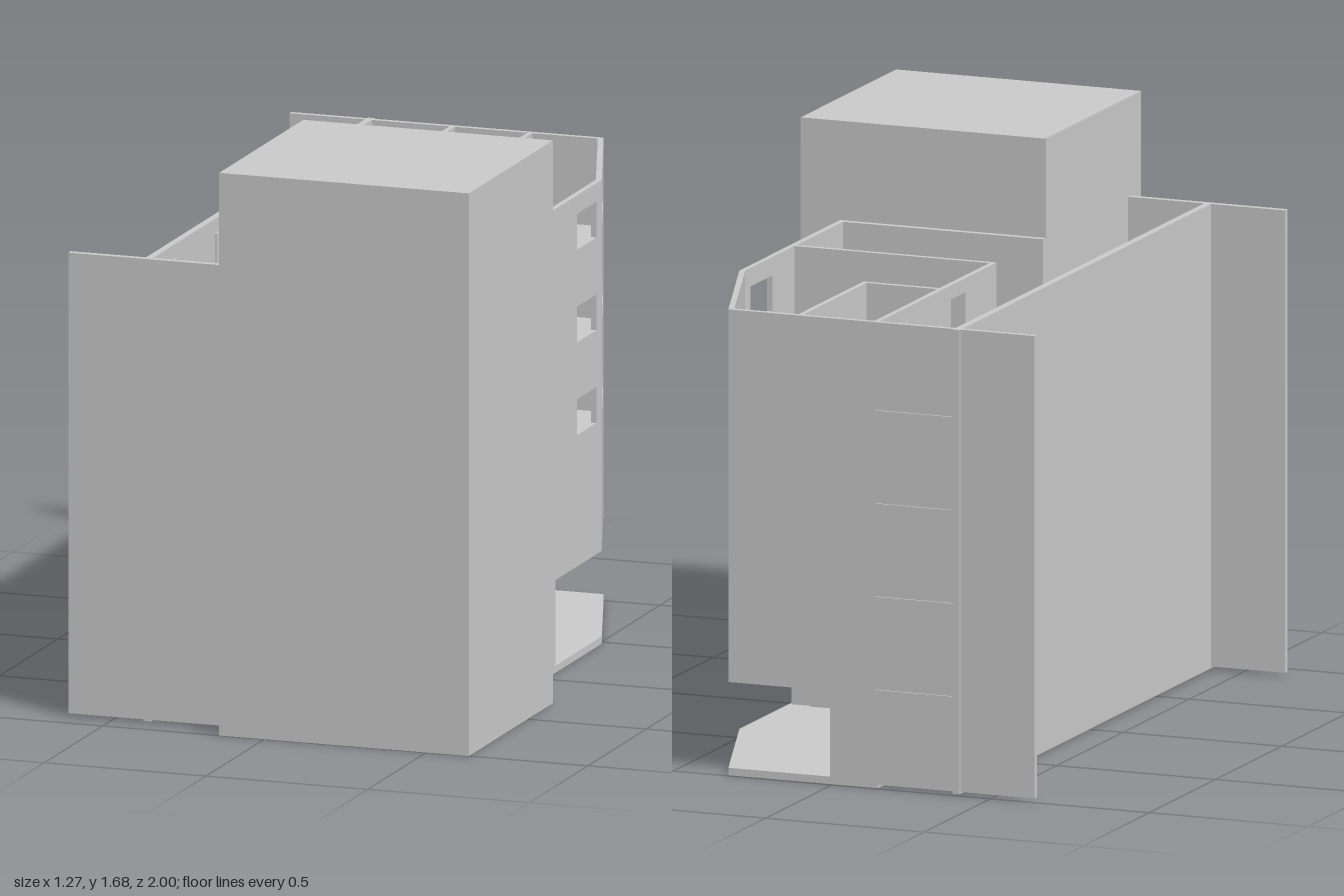
import * as THREE from 'three';

const STOREY = 0.277, TOP = 1.385, T = 0.017;
const material = new THREE.MeshStandardMaterial({ color: 0xcccccc, flatShading: true });

function add(parent, name, geometry) {
  const mesh = new THREE.Mesh(geometry, material);
  mesh.name = name;
  parent.add(mesh);
  return mesh;
}

// box given by its min and max corners
function block(parent, name, [x0, y0, z0], [x1, y1, z1]) {
  const mesh = add(parent, name, new THREE.BoxGeometry(x1 - x0, y1 - y0, z1 - z0));
  mesh.position.set((x0 + x1) / 2, (y0 + y1) / 2, (z0 + z1) / 2);
  return mesh;
}

const polygon = (pts) => new THREE.Shape(pts.map(([x, y]) => new THREE.Vector2(x, y)));

// upright wall starting at plan point a and heading to b; outline and holes are in (distance, height)
function wall(parent, name, a, b, outline, holes = [], thickness = T) {
  const shape = polygon(outline);
  for (const [u0, y0, u1, y1] of holes) {
    shape.holes.push(polygon([[u0, y0], [u0, y1], [u1, y1], [u1, y0]]));
  }
  const mesh = add(parent, name, new THREE.ExtrudeGeometry(shape, { depth: thickness, bevelEnabled: false }));
  mesh.position.set(a[0], 0, a[1]);
  mesh.rotation.y = Math.atan2(a[1] - b[1], b[0] - a[0]);
  return mesh;
}

// horizontal slab from plan points (x, z)
function slab(parent, name, plan, y, thickness) {
  const geometry = new THREE.ExtrudeGeometry(polygon(plan.map(([x, z]) => [x, -z])), { depth: thickness, bevelEnabled: false });
  geometry.rotateX(-Math.PI / 2);
  add(parent, name, geometry).position.y = y;
}

const rect = (u0, y0, u1, y1) => [[u0, y0], [u1, y0], [u1, y1], [u0, y1]];

export function createModel() {
  const model = new THREE.Group();
  model.name = 'apartmentBuilding';

  // solid front tower
  block(model, 'frontTower', [-0.14, 0, 0.28], [0.632, 1.68, 1]);

  // outer walls, with window holes on the upper three storeys
  const shell = new THREE.Group();
  shell.name = 'outerWalls';
  model.add(shell);
  const windows = (u0, u1) => [2, 3, 4].map((k) => [u0, STOREY * k + 0.115, u1, STOREY * k + 0.222]);
  wall(shell, 'rearWall', [-0.635, -0.99], [0.33, -0.99],
    [[0, 0.01], [0.645, 0.01], [0.645, STOREY], [0.965, STOREY], [0.965, TOP], [0, TOP]]);
  wall(shell, 'angledWall', [0.33, -0.99], [0.508, -0.48], rect(0, STOREY, 0.54, TOP), windows(0.127, 0.408));
  wall(shell, 'leftWall', [0.508, -0.48], [0.508, 0.28],
    [[0, STOREY], [0.4, STOREY], [0.4, 0], [0.76, 0], [0.76, TOP], [0, TOP]], windows(0.045, 0.21));
  block(shell, 'hallFrontWall', [-0.14, 0, 0.26], [0.5, TOP, 0.281]);
  block(shell, 'corridorWall', [-0.402, 0.005, -0.998], [-0.38, TOP, 0.92]);
  block(shell, 'frontFin', [-0.635, 0.01, 0.9], [-0.138, TOP, 0.92]);

  // inner partitions
  const rooms = new THREE.Group();
  rooms.name = 'partitions';
  model.add(rooms);
  const doorways = [3, 4].map((k) => [0.235, STOREY * k + 0.016, 0.345, STOREY * k + 0.235]);
  wall(rooms, 'corridorSideWall', [-0.14, -0.09], [-0.14, -0.98], rect(0, 0, 0.89, TOP), doorways);
  block(rooms, 'crossWall', [-0.13, 0.01, -0.105], [0.5, TOP, -0.088]);
  block(rooms, 'smallRoomSide', [0.1, STOREY, -0.98], [0.116, TOP, -0.48]);
  block(rooms, 'smallRoomFront', [-0.13, STOREY, -0.497], [0.116, TOP, -0.48]);
  block(rooms, 'parkingSideWall', [0, 0.01, -0.98], [0.012, STOREY, -0.09]);
  block(rooms, 'parkingDoor', [0.36, 0.02, -0.115], [0.44, 0.165, -0.1]);

  // ground slab with the cut corner
  const outline = [[-0.14, -0.99], [0.33, -0.99], [0.508, -0.48], [0.508, 0.28], [-0.14, 0.28]];
  slab(model, 'groundSlab', outline, 0, 0.022);

  // storey floors, stair ramps and corridor decks
  const inner = [[-0.135, -0.98], [0.325, -0.98], [0.5, -0.48], [0.5, 0.265]];
  const closed = [...inner, [-0.14, 0.265]];
  const notched = [...inner, [0.265, 0.265], [0.265, 0.075], [-0.14, 0.075]];
  for (let k = 1; k <= 4; k++) {
    const y = STOREY * k, floor = new THREE.Group();
    floor.name = `storey${k}`;
    model.add(floor);
    slab(floor, 'floorSlab', k === 1 ? closed : notched, y, 0.016);
    block(floor, 'corridorDeck', [-0.385, y + 0.002, -0.996], [-0.135, y + 0.016, 0.905]);
    if (k > 1) {
      wall(floor, 'stairRamp', [-0.14, 0.075], [0.265, 0.075],
        [[0, y - 0.14], [0.405, y], [0.405, y + 0.016], [0, y - 0.124]], [], 0.185);
    }
    // slightly open door leaves along the corridor wall
    for (const z of [-0.59, -0.14, 0.32, 0.76]) {
      const door = block(floor, 'corridorDoor', [-0.381, y + 0.016, z - 0.055], [-0.374, y + 0.235, z + 0.055]);
      door.rotation.y = 0.04;
    }
  }
  return model;
}
